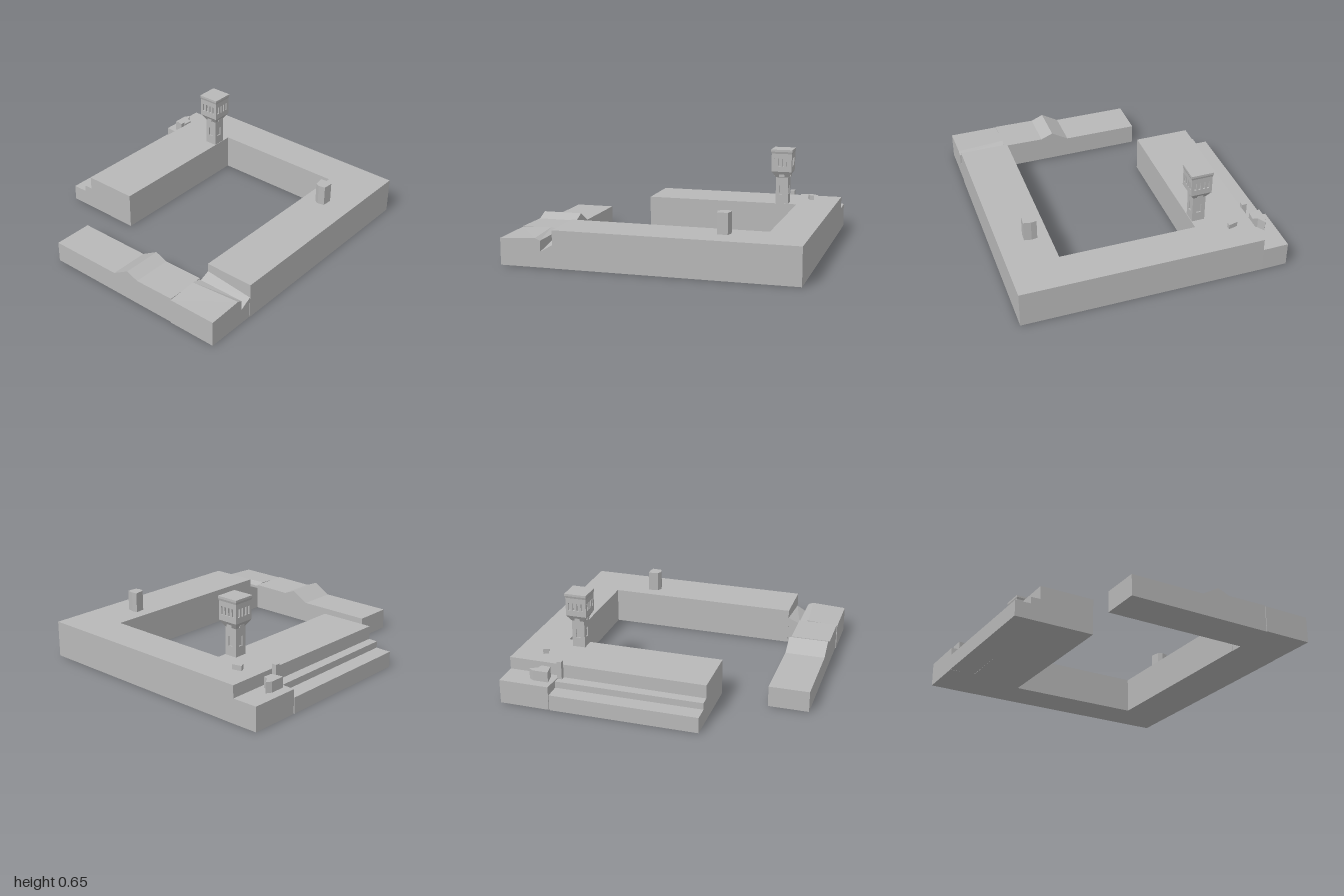
import * as THREE from 'three';

const stone = new THREE.MeshStandardMaterial({ color: 0xb8b8b8 });
stone.name = 'stone grey';

function polygon(points) {
  return new THREE.Shape(points.map(([a, b]) => new THREE.Vector2(a, b)));
}

function extrude(shape, depth) {
  return new THREE.ExtrudeGeometry(shape, { depth, bevelEnabled: false });
}

// Upright block from a floor plan of [x, z] points
function planBlock(points, y0, y1) {
  const g = extrude(polygon(points.map(([x, z]) => [x, -z])), y1 - y0);
  return g.rotateX(-Math.PI / 2).translate(0, y0, 0);
}

// Block from a side profile of [z, y] points, running along x
function profileBlock(points, x0, x1) {
  const g = extrude(polygon(points.map(([z, y]) => [-z, y])), x1 - x0);
  return g.rotateY(Math.PI / 2).translate(x0, 0, 0);
}

// Square frustum with flat sides
function frustum(wTop, wBottom, y0, y1) {
  const r = Math.SQRT1_2;
  return new THREE.CylinderGeometry(wTop * r, wBottom * r, y1 - y0, 4).toNonIndexed()
    .rotateY(Math.PI / 4).translate(0, (y0 + y1) / 2, 0);
}

// Wall panel with rectangular window openings
function windowPanel(w, y0, y1, holes, depth) {
  const shape = polygon([[-w / 2, y0], [w / 2, y0], [w / 2, y1], [-w / 2, y1]]);
  for (const [cx, hw, b, t] of holes) {
    shape.holes.push(polygon([[cx - hw, b], [cx - hw, t], [cx + hw, t], [cx + hw, b]]));
  }
  return extrude(shape, depth);
}

function add(parent, name, geometry) {
  geometry.computeVertexNormals();
  const mesh = new THREE.Mesh(geometry, stone);
  mesh.name = name;
  parent.add(mesh);
  return mesh;
}

function makeTower() {
  const tower = new THREE.Group();
  tower.name = 'tower';
  add(tower, 'shaftCore', new THREE.BoxGeometry(0.072, 0.3, 0.072).toNonIndexed().translate(0, 0.31, 0));
  add(tower, 'flare', frustum(0.146, 0.09, 0.445, 0.49));
  add(tower, 'headCore', new THREE.BoxGeometry(0.122, 0.14, 0.122).toNonIndexed().translate(0, 0.56, 0));
  add(tower, 'cornice', frustum(0.155, 0.146, 0.62, 0.635));
  add(tower, 'roof', frustum(0.155, 0.155, 0.635, 0.65));

  const headHoles = [-0.045, -0.015, 0.015, 0.045].map(x => [x, 0.008, 0.53, 0.585]);
  for (let i = 0; i < 4; i++) {
    const side = new THREE.Group();
    side.name = 'towerSide';
    side.rotation.y = i * Math.PI / 2;
    tower.add(side);
    add(side, 'headWall', windowPanel(0.146, 0.49, 0.62, headHoles, 0.012)).position.z = 0.061;
    add(side, 'shaftWall', windowPanel(0.09, 0.24, 0.446, [[0, 0.017, 0.32, 0.385]], 0.009)).position.z = 0.036;
    // Small pointed bracket under the head
    add(side, 'bracket', extrude(polygon([[-0.02, 0.45], [0.02, 0.45], [0.02, 0.465], [0, 0.49], [-0.02, 0.465]]), 0.02))
      .position.z = 0.04;
  }
  tower.position.set(0.617, 0, -0.413);
  return tower;
}

export function createModel() {
  const model = new THREE.Group();
  model.name = 'fortress';

  // High platform: front, left and back wings
  add(model, 'mainWings', planBlock([
    [-0.635, 0.92], [0.99, 0.925], [1, -0.745], [-0.38, -0.755],
    [-0.38, -0.365], [0.725, -0.365], [0.72, 0.58], [-0.635, 0.572]], 0, 0.253));

  // Stepped terrace behind the back wing
  add(model, 'backSteps', profileBlock([
    [-0.75, 0], [-0.93, 0], [-0.93, 0.11], [-0.82, 0.112], [-0.82, 0.158], [-0.75, 0.16]], -0.38, 0.645));
  add(model, 'backTerrace', planBlock([
    [0.64, -0.74], [1, -0.74], [0.998, -0.925], [0.65, -0.928]], 0, 0.167));

  // Low wing with a ridge across it
  add(model, 'lowWing', profileBlock([
    [0.575, 0], [0.575, 0.187], [0.285, 0.183], [0.2, 0.218], [0.08, 0.147],
    [-0.45, 0.145], [-0.45, 0]], -0.995, -0.718));

  // Front corner with a channel that rises toward the courtyard
  const corner = extrude(polygon([
    [-1, 0], [-0.635, 0], [-0.635, 0.155], [-0.72, 0.105], [-0.72, 0.178], [-0.755, 0.193], [-1, 0.18]]), 0.343);
  const p = corner.attributes.position;
  for (let i = 0; i < p.count; i++) {
    const x = p.getX(i), y = p.getY(i);
    if (p.getZ(i) > 0.1) continue;
    if (y > 0.1 && y < 0.16) p.setY(i, y + (x < -0.7 ? 0.055 : 0.04));
    if (y > 0.19) p.setX(i, x - 0.03);
  }
  add(model, 'channelCorner', corner.translate(0, 0, 0.574));

  // Small blocks standing on the platforms
  add(model, 'frontPillar', planBlock([
    [0.42, 0.67], [0.405, 0.7], [0.415, 0.745], [0.485, 0.75], [0.495, 0.7], [0.49, 0.66]], 0.25, 0.395));
  add(model, 'roofBlock', planBlock([
    [0.77, -0.62], [0.79, -0.57], [0.82, -0.57], [0.805, -0.635]], 0.25, 0.287));
  add(model, 'terraceHut', planBlock([
    [0.675, -0.862], [0.69, -0.78], [0.755, -0.775], [0.765, -0.81], [0.815, -0.84], [0.78, -0.862]], 0.16, 0.24));
  add(model, 'terracePost', planBlock([
    [0.612, -0.78], [0.612, -0.745], [0.645, -0.745], [0.645, -0.78]], 0.15, 0.285));

  model.add(makeTower());
  return model;
}
